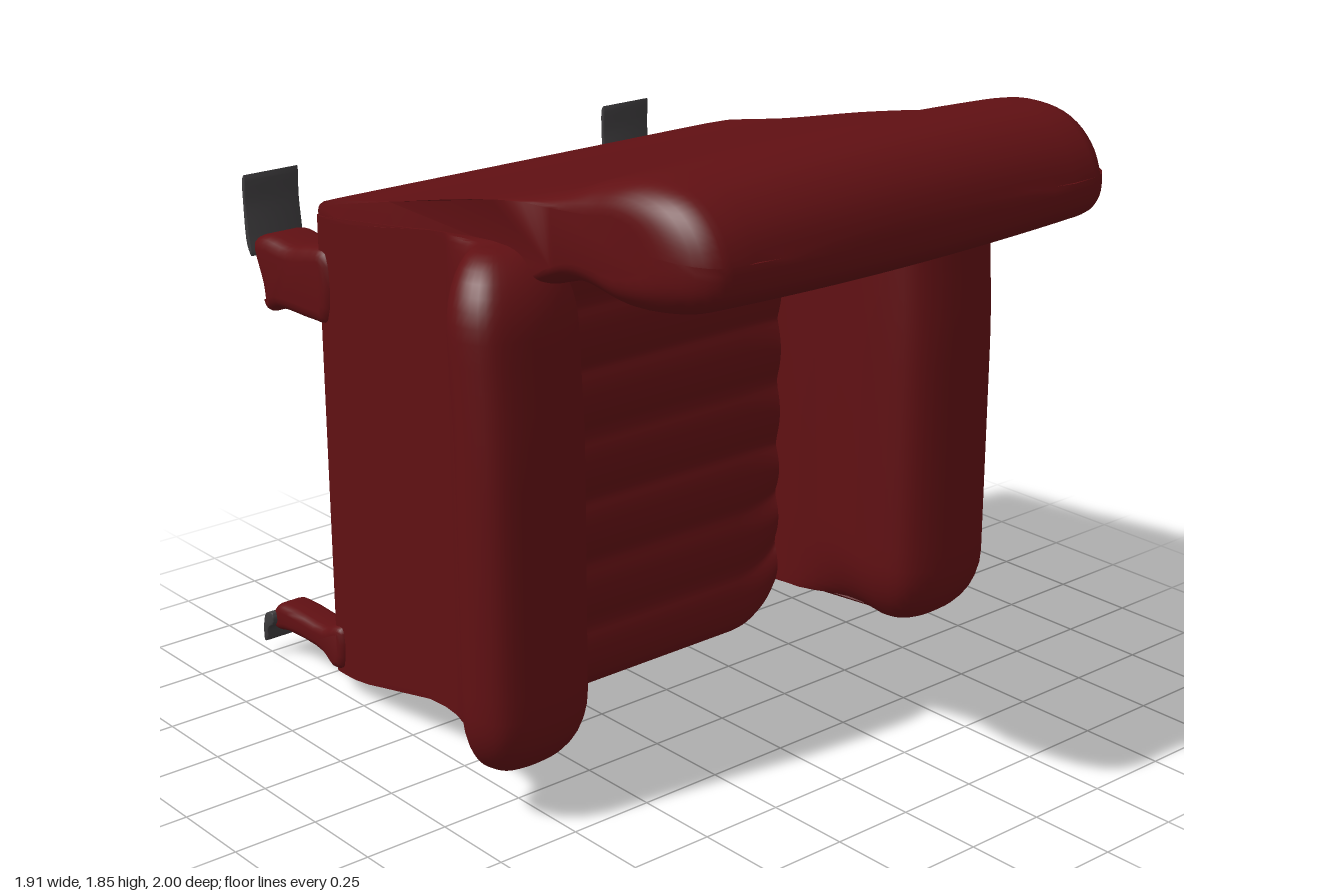
import * as THREE from 'three';
import { toCreasedNormals } from 'three/addons/utils/BufferGeometryUtils.js';

const red = new THREE.MeshStandardMaterial({ color: 0x601013 });
const dark = new THREE.MeshStandardMaterial({ color: 0x3c3a3c });
const smooth = THREE.MathUtils.smoothstep;

// closed smooth outline through a few points
const outline = (pts, n) => new THREE.CatmullRomCurve3(
  pts.map(([a, b]) => new THREE.Vector3(a, b, 0)), true, 'centripetal'
).getPoints(n).slice(0, n);

// stations along a body: t runs -1..1, k falls from 1 to 0 in the rounded ends
function stations(r, middle = 12, steps = 8) {
  const end = [];
  for (let i = steps; i >= 0; i--) {
    const a = (i / steps) * Math.PI / 2;
    end.push({ t: -1 + r * (1 - Math.sin(a)), k: Math.cos(a) });
  }
  const mid = [];
  for (let i = 1; i < middle; i++) mid.push({ t: (1 - r) * (2 * i / middle - 1), k: 1 });
  return [...end, ...mid, ...end.map(({ t, k }) => ({ t: -t, k })).reverse()];
}

// sweep an outline through stations; place() returns the position of each point
function loft(section, rings, place) {
  const n = section.length, pos = [], idx = [];
  for (const ring of rings) for (const p of section) pos.push(...place(p.x, p.y, ring));
  for (let j = 0; j < rings.length - 1; j++) {
    for (let i = 0; i < n; i++) {
      const a = j * n + i, b = j * n + (i + 1) % n;
      idx.push(a, b, b + n, a, b + n, a + n);
    }
  }
  const last = (rings.length - 1) * n;
  const ccw = THREE.ShapeUtils.isClockWise(section) ? -1 : 1;
  for (const [a, b, c] of THREE.ShapeUtils.triangulateShape(section, [])) {
    const s = (section[b].x - section[a].x) * (section[c].y - section[a].y)
      - (section[b].y - section[a].y) * (section[c].x - section[a].x);
    const [p, q] = s * ccw > 0 ? [b, c] : [c, b];
    idx.push(a, q, p, last + a, last + p, last + q);
  }
  // turn all faces outward
  const v = i => new THREE.Vector3().fromArray(pos, i * 3);
  let volume = 0;
  for (let i = 0; i < idx.length; i += 3) volume += v(idx[i]).dot(v(idx[i + 1]).cross(v(idx[i + 2])));
  if (volume < 0) idx.reverse();
  const g = new THREE.BufferGeometry();
  g.setAttribute('position', new THREE.Float32BufferAttribute(pos, 3));
  g.setIndex(idx);
  return toCreasedNormals(g, 0.8);
}

// side profile (z, y) given a width from x0 to x1
function sideExtrude(pts, x0, x1, bevel) {
  const shape = new THREE.Shape(outline(pts, 40).map(p => new THREE.Vector2(p.x, p.y)));
  const g = new THREE.ExtrudeGeometry(shape, {
    depth: x1 - x0 - 2 * bevel, bevelThickness: bevel, bevelSize: bevel,
    bevelOffset: -bevel, bevelSegments: 4,
  });
  g.rotateY(-Math.PI / 2).translate(x1 - bevel, 0, 0);
  return toCreasedNormals(g, 0.8);
}

// mirrored copy with the corner order kept outward
function mirrored(geometry) {
  const g = geometry.clone().scale(-1, 1, 1);
  for (const { array, itemSize: s } of Object.values(g.attributes)) {
    for (let i = 0; i < array.length; i += 3 * s) {
      for (let c = 0; c < s; c++) {
        [array[i + c], array[i + 2 * s + c]] = [array[i + 2 * s + c], array[i + c]];
      }
    }
  }
  return g;
}

export function createModel() {
  const model = new THREE.Group();
  const add = (name, geometry, material = red) => {
    const mesh = new THREE.Mesh(geometry, material);
    mesh.name = name;
    model.add(mesh);
  };
  const pair = (name, geometry, material) => {
    add('left' + name, geometry, material);
    add('right' + name, mirrored(geometry), material);
  };

  // backrest: a sloping slab swelling into a fat pillow
  const backOutline = outline([
    [-0.66, 1.49], [-0.63, 1.51], [-0.3, 1.58], [0, 1.65], [0.25, 1.705], [0.43, 1.76], [0.58, 1.82],
    [0.74, 1.85], [0.88, 1.825], [0.965, 1.75], [1, 1.64], [0.985, 1.57], [0.92, 1.525], [0.7, 1.485],
    [0.5, 1.51], [0.4, 1.49], [0.2, 1.43], [-0.1, 1.385], [-0.2, 1.39], [-0.6, 1.42], [-0.65, 1.44],
  ], 100);
  add('backrest', loft(backOutline, stations(0.14, 16), (z, y, { t, k }) => {
    const pillow = smooth(z, 0.15, 0.6);
    const s = 1 - pillow * 0.45 * (1 - k);
    const crown = 0.02 * pillow * t * t * Math.sign(1.66 - y);
    const side = 0.738 + 0.024 * smooth(z, -0.6, 0) - 0.008 * smooth(z, 0.15, 0.5);
    const tail = 0.02 * (1 - k) * smooth(-z, 0.6, 0.66);
    return [t * side, 1.66 + (y - 1.66) * s + crown, (z > 0.6 ? 0.6 + (z - 0.6) * s : z) + tail];
  }));

  // arms: a thin side wall ending in a rolled, round-ended pad
  const armOutline = outline([
    [0.665, -0.64], [0.7, -0.65], [0.738, -0.65], [0.745, -0.6], [0.76, -0.3], [0.775, 0], [0.8, 0.06],
    [0.85, 0.2], [0.925, 0.24], [0.955, 0.32], [0.92, 0.405], [0.83, 0.435], [0.7, 0.43],
    [0.61, 0.385], [0.575, 0.28], [0.565, 0.08], [0.555, -0.12], [0.57, -0.25], [0.6, -0.31], [0.665, -0.34],
  ], 80);
  pair('Arm', loft(armOutline, stations(0.28, 16), (x, z, { t, k }) => {
    const w = smooth(z, -0.05, 0.28) * 0.7 * (1 - k);
    const bottom = 0.168 - 0.105 * smooth(-z, 0.05, 0.62) - 0.038 * smooth(z, 0.1, 0.3);
    const top = 1.47 + 0.11 * smooth(z, -0.65, 0.2);
    const y = bottom + (top - bottom) * (t + 1) / 2;
    const lean = 0.025 * smooth(t, 0.2, 0.9) * smooth(z, 0, 0.3);
    return [x + (0.75 - x) * w, y, z - w * Math.max(0, z - 0.22) - lean];
  }));

  // seat: a softly ribbed shell with a rounded lip hanging at the front edge
  const seatPoints = [];
  for (let i = 0; i <= 48; i++) {
    const y = 1.4 - i / 48 * 1.3;
    seatPoints.push([-0.14 + 0.018 * Math.abs(Math.sin((y - 0.02) * Math.PI / 0.2)), y]);
  }
  seatPoints.push([-0.14, 0.04], [-0.18, 0.005], [-0.25, 0], [-0.32, 0.01], [-0.35, 0.06],
    [-0.34, 0.12], [-0.3, 0.15], [-0.24, 0.17], [-0.21, 0.23]);
  for (let i = 1; i <= 12; i++) seatPoints.push([-0.21 - 0.012 * (i % 2), 0.23 + i / 12 * 1.15]);
  add('seat', loft(outline(seatPoints, 160), stations(0.3, 14, 16), (z, y, { t, k }) => {
    const x = t * 0.585;
    const u = Math.min(1, Math.max(0, (Math.abs(x) - 0.41) / 0.155));
    const lift = 0.18 * (1 - Math.sqrt(1 - u * u * 0.98));
    return [x, y + lift * Math.max(0, 1 - y / 0.6), z + 0.02 * (1 - k)];
  }));

  // cloth panel closing the upper part of the underside, flush with the walls, with a wavy free edge
  const panelOutline = outline([[-0.65, 0.755], [-0.65, 1.0], [-0.645, 1.46], [-0.61, 1.46],
    [-0.62, 1.0], [-0.625, 0.755]], 40);
  add('undersidePanel', loft(panelOutline, stations(0.02, 40, 2), (z, y, { t }) => {
    const free = Math.max(0, (1.46 - y) / 0.7);
    return [t * 0.69, y + 0.01 * free * Math.sin(t * 11), z + 0.004 * Math.sin(t * 18) + 0.015 * free * (1 - t * t)];
  }));

  // rear legs: deep stubs with upright foot plates
  pair('RearLeg', sideExtrude([[-0.6, 1.16], [-0.7, 1.145], [-0.86, 1.14], [-0.925, 1.12],
    [-0.945, 1.2], [-0.985, 1.32], [-0.93, 1.35], [-0.8, 1.345], [-0.7, 1.365], [-0.6, 1.37]], 0.58, 0.76, 0.04));
  pair('RearFoot', sideExtrude([[-0.988, 1.52], [-0.998, 1.51], [-1, 1.42], [-0.99, 1.31],
    [-0.97, 1.28], [-0.978, 1.34], [-0.988, 1.43]], 0.58, 0.765, 0.003), dark);

  // front legs: slim struts with small hooked feet
  pair('FrontLeg', sideExtrude([[-0.6, 0.09], [-0.65, 0.07], [-0.71, 0.1], [-0.9, 0.1],
    [-0.96, 0.09], [-0.985, 0.12], [-0.95, 0.175], [-0.88, 0.185], [-0.7, 0.185], [-0.64, 0.21],
    [-0.6, 0.21]], 0.65, 0.76, 0.025));
  pair('FrontFoot', sideExtrude([[-0.95, 0.15], [-0.985, 0.14], [-1, 0.1], [-0.998, 0.045],
    [-0.985, 0.05], [-0.975, 0.09], [-0.945, 0.12]], 0.63, 0.775, 0.004), dark);

  return model;
}
